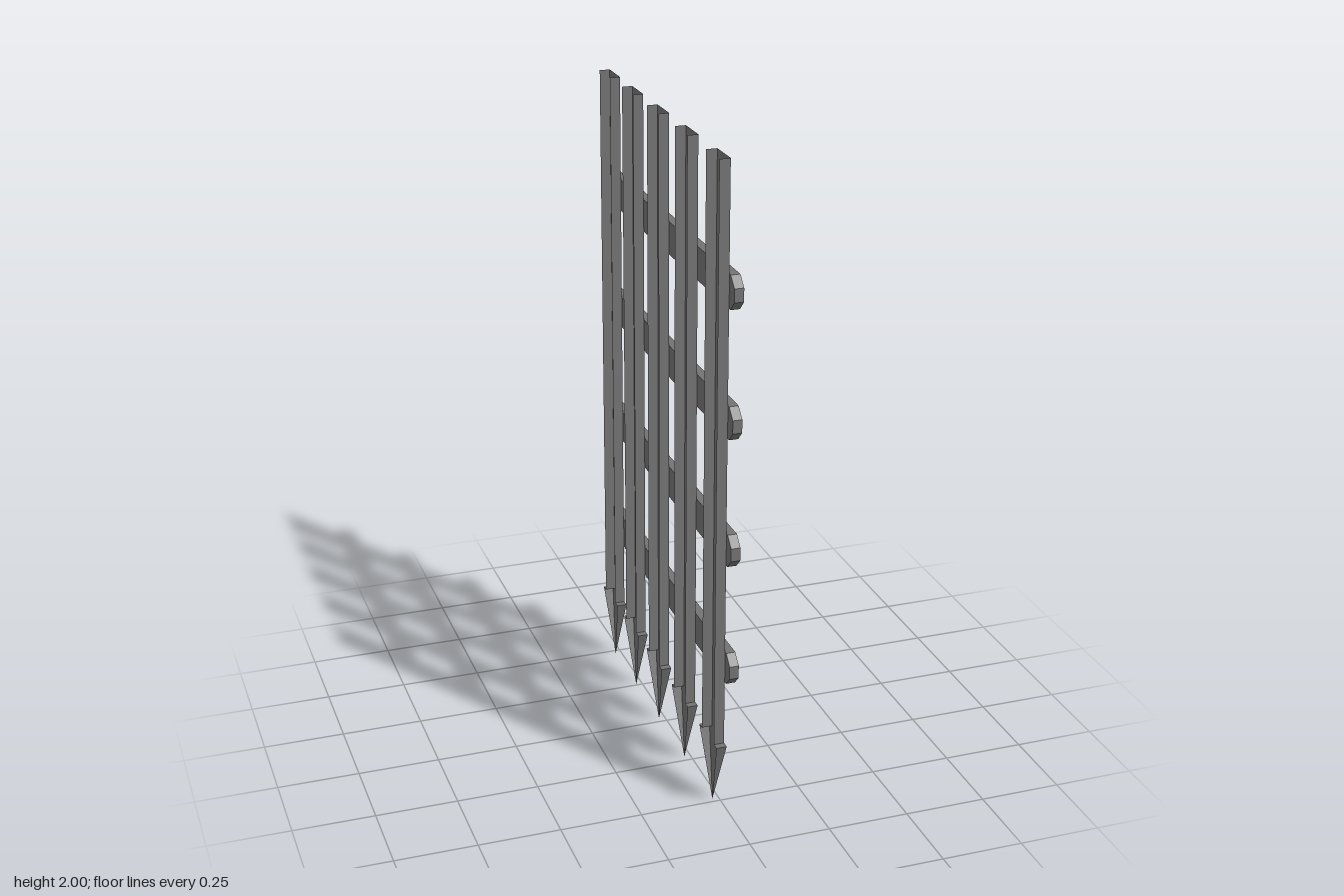
import * as THREE from 'three';

const BAR_Z = [0.484, 0.228, -0.02, -0.256, -0.481];
const STRAP_Y = [0.474, 0.853, 1.245, 1.628];
const BACK = -0.036, WEB = -0.004, STRAP_FRONT = 0.024, BOLT_FRONT = 0.035;
const HALF = 0.052, HEAD_HALF = 0.075, HEAD_Y = 0.22, TOP = 2;

// Sheet surface from polygons, each fanned into triangles
function sheet(polygons) {
  const p = [];
  for (const poly of polygons)
    for (let i = 1; i < poly.length - 1; i++) p.push(...poly[0], ...poly[i], ...poly[i + 1]);
  const g = new THREE.BufferGeometry();
  g.setAttribute('position', new THREE.Float32BufferAttribute(p, 3));
  g.computeVertexNormals();
  return g;
}

// Channel bar: front web and two side flanges, open at the back and top
function barGeometry() {
  const h = HALF, a = HEAD_Y, b = TOP;
  return sheet([
    [[WEB, a, h], [WEB, a, -h], [WEB, b, -h], [WEB, b, h]],
    [[BACK, a, h], [WEB, a, h], [WEB, b, h], [BACK, b, h]],
    [[WEB, a, -h], [BACK, a, -h], [BACK, b, -h], [WEB, b, -h]],
  ]);
}

// Hollow spearhead: front face, two tapering sides and shoulder ledges
function headGeometry() {
  const w = HEAD_HALF, h = HALF, y = HEAD_Y;
  const tip = [(BACK + WEB) / 2, 0, 0];
  return sheet([
    [[WEB, y, w], tip, [WEB, y, -w]],
    [[BACK, y, w], tip, [WEB, y, w]],
    [[WEB, y, -w], tip, [BACK, y, -w]],
    [[BACK, y, h], [BACK, y, w], [WEB, y, w], [WEB, y, h]],
    [[BACK, y, -w], [BACK, y, -h], [WEB, y, -h], [WEB, y, -w]],
  ]);
}

// Flat strap with clipped corners, lying along z
function strapGeometry() {
  const L = 0.576, H = 0.05, c = 0.03;
  const shape = new THREE.Shape([
    [-L, -H + c], [-L + c, -H], [L - c, -H], [L, -H + c],
    [L, H - c], [L - c, H], [-L + c, H], [-L, H - c],
  ].map(([x, y]) => new THREE.Vector2(x, y)));
  return new THREE.ExtrudeGeometry(shape, { depth: STRAP_FRONT - WEB, bevelEnabled: false })
    .rotateY(Math.PI / 2).translate(WEB, 0, 0);
}

export function createModel() {
  const gate = new THREE.Group();
  gate.name = 'portcullis';
  const iron = new THREE.MeshStandardMaterial({ color: 0x737373, side: THREE.DoubleSide, flatShading: true });
  iron.name = 'iron';

  const add = (geometry, name, y, z) => {
    const mesh = new THREE.Mesh(geometry, iron);
    mesh.name = name;
    mesh.position.set(0, y, z);
    gate.add(mesh);
  };

  // Upright bars with spearheads
  const bar = barGeometry(), head = headGeometry();
  for (const z of BAR_Z) {
    add(bar, 'bar', 0, z);
    add(head, 'spearhead', 0, z);
  }

  // Cross straps with a hexagonal bolt at every bar
  const strap = strapGeometry();
  const depth = BOLT_FRONT - STRAP_FRONT;
  const bolt = new THREE.CylinderGeometry(0.027, 0.027, depth, 6)
    .rotateY(Math.PI / 6).rotateZ(-Math.PI / 2);
  // Turn the hexagon so a corner points up
  bolt.computeBoundingBox();
  const size = bolt.boundingBox.getSize(new THREE.Vector3());
  if (size.y < size.z) bolt.rotateX(Math.PI / 6);
  bolt.translate(STRAP_FRONT + depth / 2, 0, 0);
  for (const y of STRAP_Y) {
    add(strap, 'strap', y, 0);
    for (const z of BAR_Z) add(bolt, 'bolt', y, z);
  }
  return gate;
}
